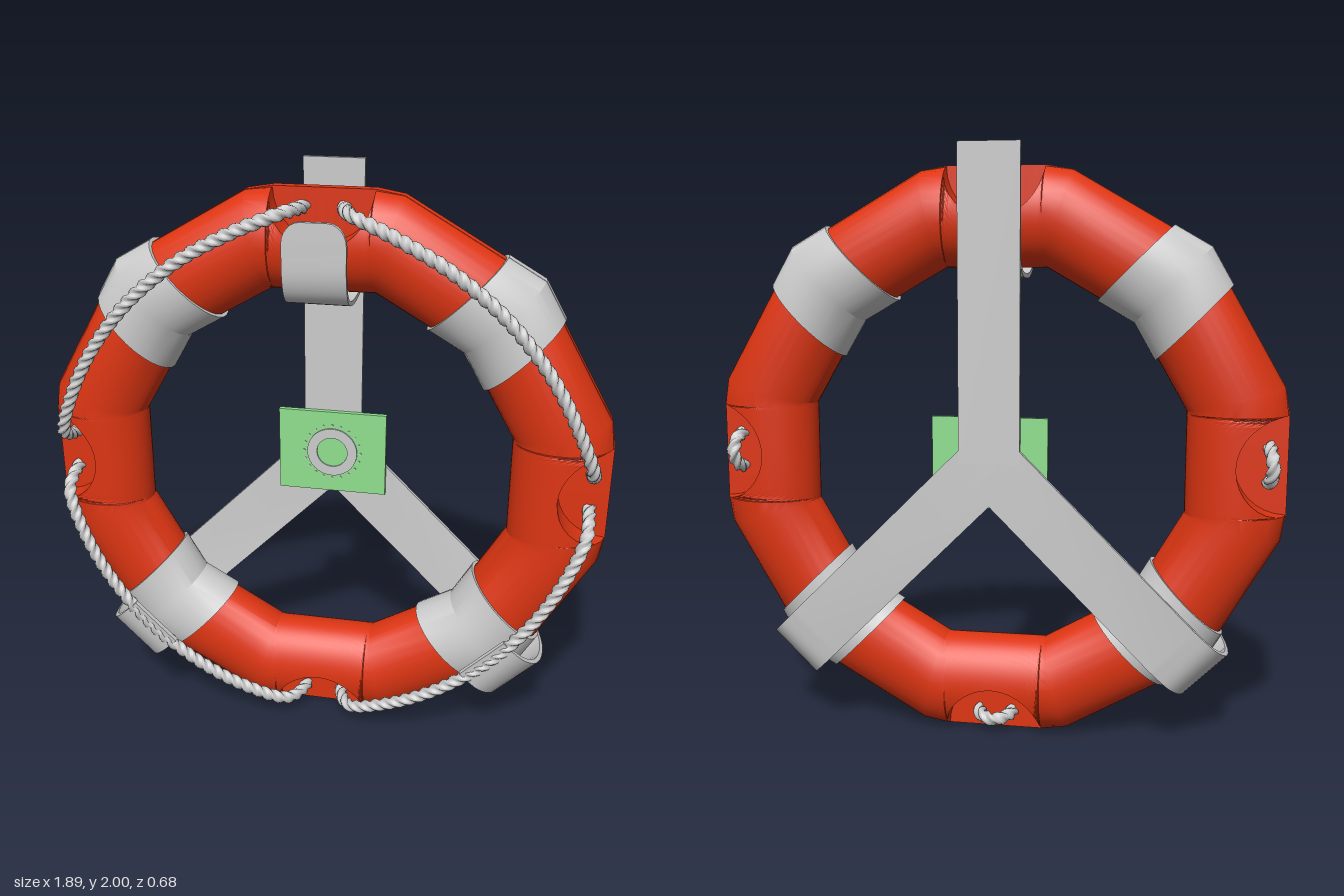
import * as THREE from 'three';
import { toCreasedNormals } from 'three/addons/utils/BufferGeometryUtils.js';

const RED = 0xdd3512, GREY = 0xcccccc, GREEN = 0x8fe08f;
const R_IN = 0.657, R_OUT = 0.983, HALF_Z = 0.13, WEB = 0.018;
const POCKET_R = 0.165, POCKET_C = 0.96, RIM = 0.965;
const deg = THREE.MathUtils.degToRad;
const V = (x, y, z) => new THREE.Vector3(x, y, z);

// Skin a list of closed cross-sections with equal point counts
function loft(rings, closed, crease) {
  const n = rings[0].length, index = [];
  const count = closed ? rings.length : rings.length - 1;
  for (let i = 0; i < count; i++) {
    const k = (i + 1) % rings.length;
    for (let j = 0; j < n; j++) {
      const l = (j + 1) % n;
      const a = i * n + j, b = k * n + j, c = k * n + l, d = i * n + l;
      index.push(a, b, d, b, c, d);
    }
  }
  const geo = new THREE.BufferGeometry().setFromPoints(rings.flat());
  geo.setIndex(index);
  if (crease) return toCreasedNormals(geo, crease);
  geo.computeVertexNormals();
  return geo;
}

function part(name, geo, color = GREY, side = THREE.FrontSide) {
  const mesh = new THREE.Mesh(geo, new THREE.MeshStandardMaterial({ color, side }));
  mesh.name = name;
  return mesh;
}

// Place (along tangent, radius, depth) around the ring at an angle
function place(angle, t, r, z) {
  const c = Math.cos(angle), s = Math.sin(angle);
  return V(c * r - s * t, s * r + c * t, z);
}

// Oval cross-section as [radius, depth]; beyond "cut" only the thin web is left
function section(rIn, rOut, halfZ, cut = Infinity) {
  const mid = (rIn + rOut) / 2, a = (rOut - rIn) / 2, steps = 28;
  const least = Math.asin(WEB / halfZ);
  const phi = Math.max(least, Math.acos(Math.min(1, (cut - mid) / a)));
  const edge = mid + a * Math.cos(phi);
  const pts = [[rOut, -WEB], [rOut, WEB], [edge, WEB]];
  for (let i = 0; i <= steps; i++) {
    const p = phi + (2 * Math.PI - 2 * phi) * i / steps;
    pts.push([mid + a * Math.cos(p), halfZ * Math.sin(p)]);
  }
  pts.push([edge, -WEB]);
  return pts;
}

// Twelve-sided float with four rope pockets cut in its rim
function floatRing() {
  const rings = [];
  const add = (angle, t, pts) => rings.push(pts.map(([r, z]) => place(angle, t, r, z)));
  for (let q = 0; q < 4; q++) {
    const mid = q * Math.PI / 2;
    add(mid - deg(15), 0, section(R_IN, R_OUT, HALF_Z));
    for (let i = 0; i <= 16; i++) {
      const u = -Math.PI / 2 + Math.PI * i / 16;
      const cut = POCKET_C - POCKET_R * Math.cos(u);
      add(mid, POCKET_R * Math.sin(u), section(R_IN * Math.cos(deg(15)), RIM, HALF_Z, cut));
    }
    add(mid + deg(15), 0, section(R_IN, R_OUT, HALF_Z));
    add(mid + deg(45), 0, section(R_IN, R_OUT, HALF_Z));
  }
  // the 15-degree corner after 45 is supplied by the next quarter
  return loft(rings, true, 0.4);
}

// Reflective sleeve bent over a corner of the float
function band(angle) {
  const stations = [[-0.135, -0.01], [-0.135, 0.012], [0, 0.012], [0.135, 0.012], [0.135, -0.01]];
  const rings = stations.map(([t, grow]) =>
    section(R_IN - grow, R_OUT + grow, HALF_Z + grow).map(([r, z]) =>
      place(angle, t, r - Math.abs(t) * Math.tan(deg(15)), z)));
  return loft(rings, false, 0.4);
}

// Flat strap swept along a path of [radius, depth, half width]
function strap(angle, path, thick = 0.016) {
  const rings = path.map(([r, z, w], i) => {
    const p = path[Math.max(0, i - 1)], q = path[Math.min(path.length - 1, i + 1)];
    const d = new THREE.Vector2(q[0] - p[0], q[1] - p[1]).normalize().multiplyScalar(thick / 2);
    return [[-w, 1], [w, 1], [w, -1], [-w, -1]].map(([t, s]) =>
      place(angle, t, r - s * d.y, z + s * d.x));
  });
  // close both ends
  const cap = (ring) => {
    const c = V(0, 0, 0);
    ring.forEach((p) => c.addScaledVector(p, 0.25));
    return ring.map(() => c.clone());
  };
  return loft([cap(rings[0]), ...rings, cap(rings[rings.length - 1])], false, 0.5);
}

// Smooth hook bend through a few [radius, depth] points
function bend(points, w) {
  const curve = new THREE.CatmullRomCurve3(points.map(([r, z]) => V(r, z, 0)), false, 'centripetal');
  return curve.getPoints(28).map((p) => [p.x, p.y, w]);
}

// One three-strand rope threaded through all pockets
function rope() {
  const pts = [];
  const dip = [[-0.12, 0.9, 0.13], [-0.078, 0.905, 0.07], [-0.062, 0.905, 0], [-0.045, 0.91, -0.06],
    [0, 0.915, -0.085], [0.045, 0.91, -0.06], [0.062, 0.905, 0], [0.078, 0.905, 0.07], [0.12, 0.9, 0.13]];
  const run = [[17, 0.885, 0.165], [30, 0.868, 0.178], [45, 0.862, 0.18], [60, 0.868, 0.178], [73, 0.885, 0.165]];
  for (let q = 0; q < 4; q++) {
    const a = q * Math.PI / 2;
    dip.forEach(([t, r, z]) => pts.push(place(a, t, r, z)));
    run.forEach(([g, r, z]) => pts.push(place(a + deg(g), 0, r, z)));
  }
  const curve = new THREE.CatmullRomCurve3(pts, true, 'centripetal');
  curve.arcLengthDivisions = 1500;
  const steps = 1000, sides = 15, turns = 56;
  const frames = curve.computeFrenetFrames(steps, true);
  const rings = [];
  for (let i = 0; i < steps; i++) {
    const c = curve.getPointAt(i / steps), ring = [];
    for (let j = 0; j < sides; j++) {
      const th = -2 * Math.PI * j / sides;
      const rad = 0.013 + 0.011 * Math.abs(Math.cos(1.5 * th));
      const a = th + 2 * Math.PI * turns * i / steps;
      ring.push(c.clone().addScaledVector(frames.normals[i], rad * Math.cos(a))
        .addScaledVector(frames.binormals[i], rad * Math.sin(a)));
    }
    rings.push(ring);
  }
  return loft(rings, true);
}

export function createModel() {
  const model = new THREE.Group();
  model.name = 'lifebuoyOnBracket';
  const buoy = new THREE.Group();
  buoy.name = 'turnedAssembly';
  buoy.position.set(0, 0.97, -0.02);
  buoy.rotation.y = -0.219;
  model.add(buoy);

  buoy.add(part('floatRing', floatRing(), RED));
  for (let q = 0; q < 4; q++) {
    buoy.add(part('reflectiveBand', band(deg(45 + 90 * q)), GREY, THREE.DoubleSide));
  }
  buoy.add(part('grabRope', rope()));

  // Y-shaped bracket behind the float
  const back = -0.153, half = 0.102;
  const post = part('bracketPost', new THREE.BoxGeometry(half * 2, 1.03, 0.016));
  post.position.set(0, 0.515, back);
  buoy.add(post);

  // Lower arms hook around the outside of the float
  const lowerHook = bend([[0.86, back], [0.95, -0.13], [1.005, -0.06], [1.015, 0.03],
    [0.985, 0.12], [0.92, 0.175], [0.83, 0.19]], half);
  for (const g of [225, 315]) {
    buoy.add(part('bracketArm', strap(deg(g), [[0, back, half], ...lowerHook]), GREY, THREE.DoubleSide));
  }

  // Upper hook passes under the float and up its front, with a rounded tip
  const upperHook = bend([[0.72, back], [0.65, -0.143], [0.618, -0.09], [0.612, 0.06],
    [0.64, 0.135], [0.7, 0.168], [0.82, 0.175]], half);
  for (let i = 1; i <= 6; i++) {
    const a = i / 6 * Math.PI / 2;
    upperHook.push([0.82 + 0.07 * Math.sin(a), 0.175, half - 0.06 * (1 - Math.cos(a))]);
  }
  buoy.add(part('upperHook', strap(Math.PI / 2, upperHook), GREY, THREE.DoubleSide));

  // Centre plate with a flat ring and a circle of studs
  const plate = part('centrePlate', new THREE.BoxGeometry(0.385, 0.305, 0.018), GREEN);
  plate.position.z = back + 0.017;
  buoy.add(plate);
  const disc = new THREE.Shape().absarc(0, 0, 0.09, 0, Math.PI * 2);
  disc.holes.push(new THREE.Path().absarc(0, 0, 0.055, 0, Math.PI * 2, true));
  const ring = part('plateRing', new THREE.ExtrudeGeometry(disc,
    { depth: 0.006, bevelEnabled: false, curveSegments: 32 }));
  ring.position.z = back + 0.026;
  buoy.add(ring);
  const studGeo = new THREE.CylinderGeometry(0.004, 0.004, 0.004, 8).rotateX(Math.PI / 2);
  for (let i = 0; i < 20; i++) {
    const stud = part('plateStud', studGeo);
    stud.position.copy(place(i * Math.PI / 10, 0, 0.102, back + 0.027));
    buoy.add(stud);
  }
  return model;
}
